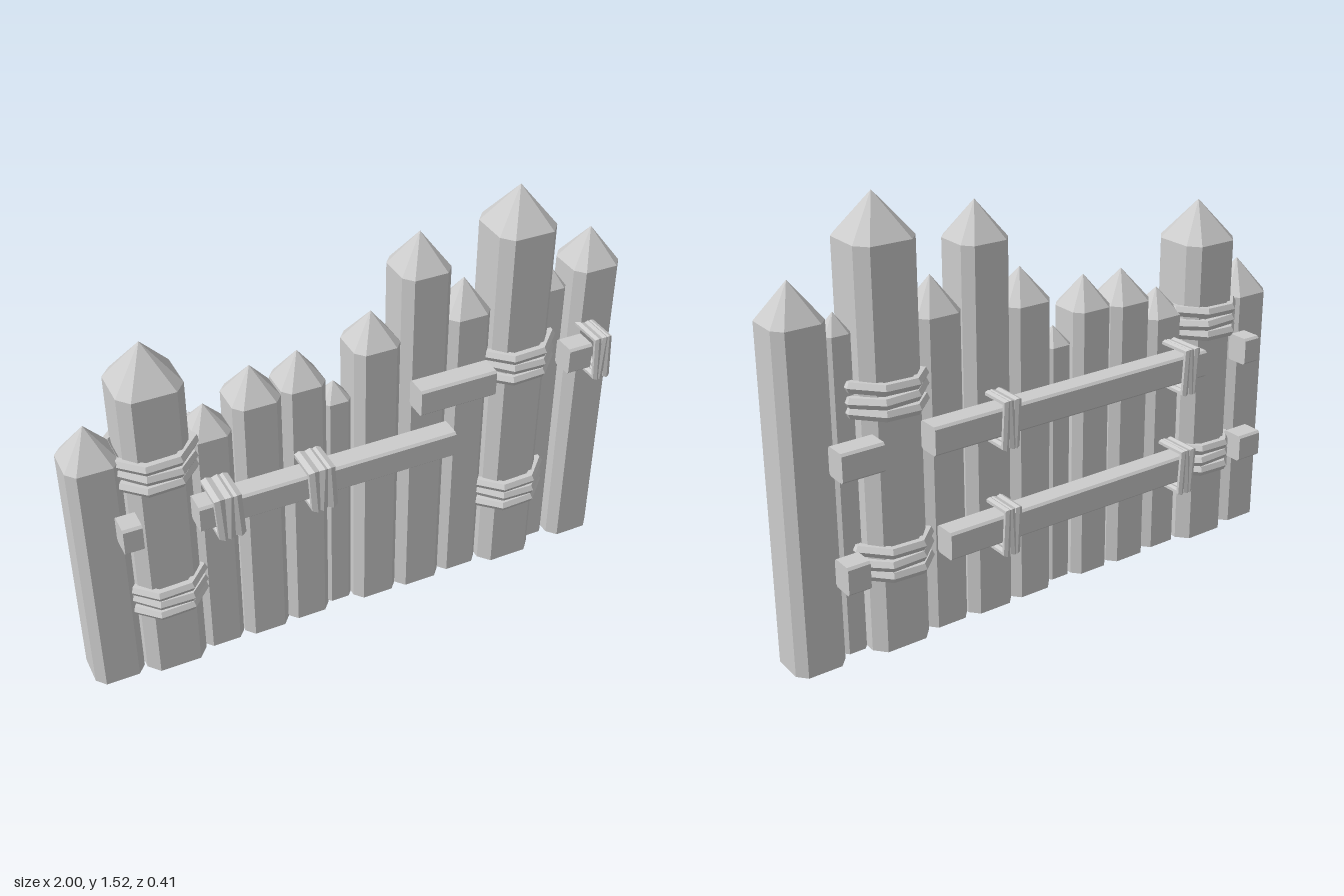
import * as THREE from 'three';

const wood = new THREE.MeshStandardMaterial({ color: 0xcccccc });
wood.name = 'plain grey';

// Faceted copy of a geometry: every face gets its own normal
function faceted(geo) {
  const g = geo.index ? geo.toNonIndexed() : geo;
  g.computeVertexNormals();
  return g;
}

function addMesh(parent, name, geo) {
  const mesh = new THREE.Mesh(faceted(geo), wood);
  mesh.name = name;
  parent.add(mesh);
  return mesh;
}

// Eight-sided stake with a pointed top; the ring is squared into a chamfered section
function stakeGeometry(hw, shoulder, tip) {
  const profile = [[0, 0], [1, 0], [1, shoulder], [0, tip]].map(p => new THREE.Vector2(...p));
  const geo = new THREE.LatheGeometry(profile, 8, Math.PI / 8);
  const pos = geo.attributes.position;
  const square = (v, inner) => Math.sign(v) * hw * (Math.abs(v) > 0.5 ? 1 : inner);
  for (let i = 0; i < pos.count; i++) {
    const x = pos.getX(i), z = pos.getZ(i);
    if (Math.hypot(x, z) < 0.5) continue;
    pos.setX(i, square(x, 0.67));
    pos.setZ(i, square(z, 0.62));
  }
  return geo;
}

// Rail with lightly chamfered long edges, running from x0 to x1
function railGeometry(x0, x1) {
  const w = 0.0425, h = 0.05, c = 0.008;
  const shape = new THREE.Shape([
    [-w + c, -h], [w - c, -h], [w, -h + c], [w, h - c],
    [w - c, h], [-w + c, h], [-w, h - c], [-w, -h + c],
  ].map(p => new THREE.Vector2(...p)));
  const geo = new THREE.ExtrudeGeometry(shape, { depth: x1 - x0, bevelEnabled: false });
  return geo.rotateY(Math.PI / 2).translate(x0, 0, 0);
}

const TILT = [0.06, -0.05, 0.055];

// Three rope turns around a stake
function postLashing(x, y) {
  const group = new THREE.Group();
  group.name = 'postLashing';
  for (let i = 0; i < 3; i++) {
    const geo = new THREE.TorusGeometry(0.141, 0.021, 6, 8)
      .rotateZ(Math.PI / 8).rotateX(Math.PI / 2);
    const turn = addMesh(group, 'ropeTurn', geo);
    turn.position.y = (i - 1) * 0.043;
    turn.rotation.z = TILT[i] * 0.6;
  }
  group.position.set(x, y, 0);
  return group;
}

// Three square rope turns around a rail
function railLashing(x, y, side, width) {
  const group = new THREE.Group();
  group.name = 'railLashing';
  const r = width * 0.21;
  for (let i = 0; i < 3; i++) {
    const geo = new THREE.TorusGeometry(0.123 - r, r, 6, 4)
      .rotateZ(Math.PI / 4).rotateY(Math.PI / 2);
    const turn = addMesh(group, 'ropeTurn', geo);
    turn.position.x = (i - 1) * (width / 2 - r);
    turn.rotation.z = TILT[i];
  }
  group.position.set(x, y, side * 0.12);
  return group;
}

export function createModel() {
  const model = new THREE.Group();
  model.name = 'palisade';

  // Stakes: centre x, half width, shoulder height, tip height
  const stakes = [
    [-0.911, 0.089, 0.914, 1.037], [-0.706, 0.11, 1.15, 1.29],
    [-0.52, 0.076, 0.904, 1.0], [-0.356, 0.085, 0.99, 1.1],
    [-0.19, 0.079, 1.0, 1.11], [-0.062, 0.05, 0.888, 0.952],
    [0.075, 0.085, 1.075, 1.187], [0.248, 0.09, 1.316, 1.44],
    [0.42, 0.08, 1.107, 1.225], [0.615, 0.109, 1.385, 1.525],
    [0.767, 0.044, 1.107, 1.172], [0.91, 0.09, 1.176, 1.3],
  ];
  for (const [x, hw, shoulder, tip] of stakes) {
    addMesh(model, 'stake', stakeGeometry(hw, shoulder, tip)).position.x = x;
  }

  // Rails, broken where the two big posts stand: start x, end x, height, side
  const rails = [
    [-0.87, -0.805, 0.678, 1], [-0.615, 0.32, 0.678, 1],
    [0.18, 0.465, 0.89, 1], [0.755, 0.845, 0.89, 1],
    [-0.87, -0.805, 0.738, -1], [-0.615, 0.525, 0.738, -1], [0.705, 0.855, 0.738, -1],
    [-0.905, -0.805, 0.35, -1], [-0.565, 0.475, 0.35, -1], [0.775, 0.855, 0.35, -1],
  ];
  for (const [x0, x1, y, side] of rails) {
    addMesh(model, side > 0 ? 'frontRail' : 'backRail', railGeometry(x0, x1))
      .position.set(0, y, side * 0.134);
  }

  // Ropes around the two big posts
  for (const [x, y] of [[-0.706, 0.865], [-0.706, 0.33], [0.615, 0.893], [0.615, 0.33]]) {
    model.add(postLashing(x, y));
  }

  // Ropes around the rails: x, height, side, width
  const lashings = [
    [-0.52, 0.678, 1, 0.1], [-0.19, 0.678, 1, 0.1], [0.873, 0.893, 1, 0.07],
  ];
  for (const y of [0.738, 0.35]) lashings.push([-0.52, y, -1, 0.07], [0.25, y, -1, 0.07]);
  for (const l of lashings) model.add(railLashing(...l));

  return model;
}
